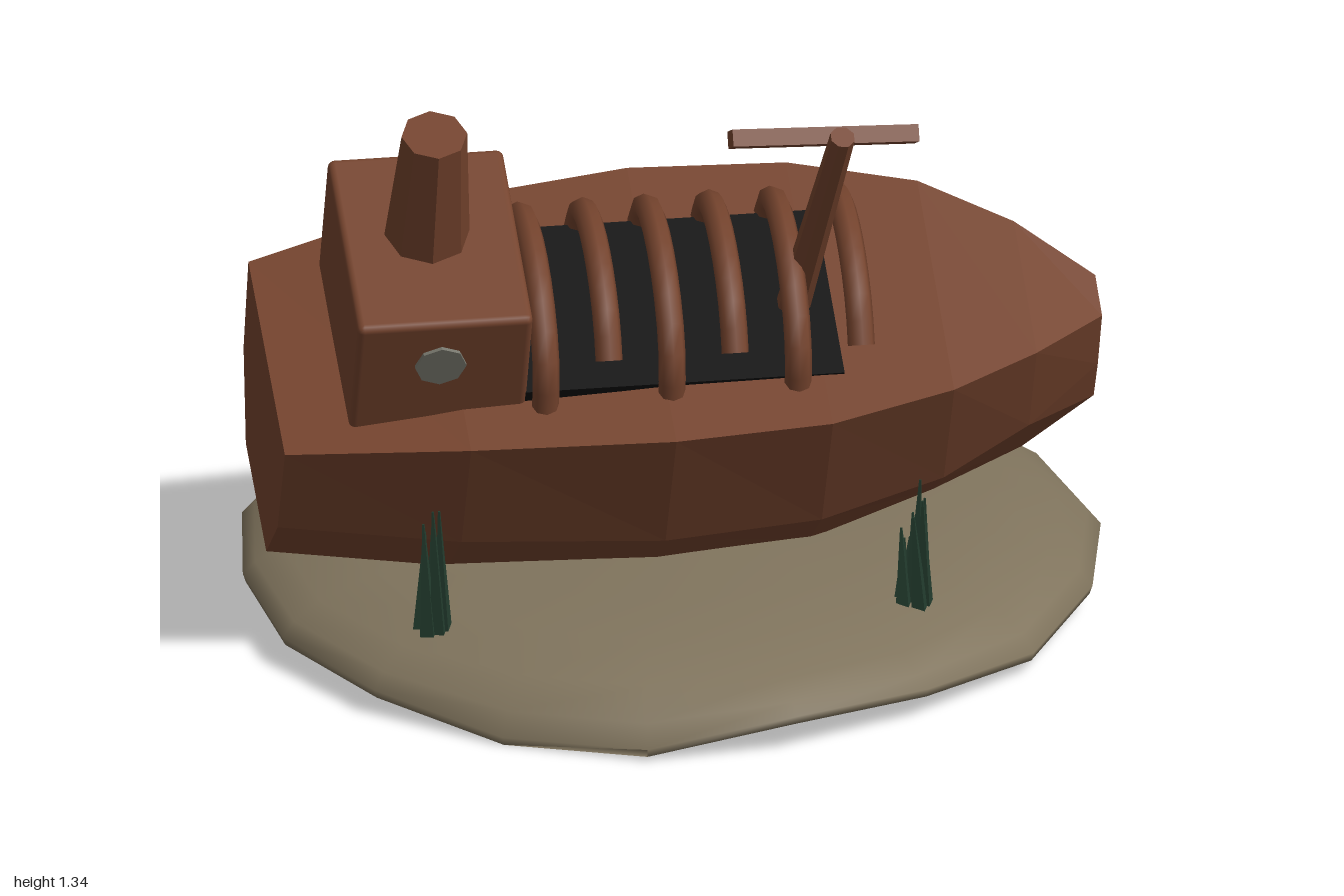
import * as THREE from 'three';
import { RoundedBoxGeometry } from 'three/addons/geometries/RoundedBoxGeometry.js';

const mat = (name, color, extra = {}) => {
  const m = new THREE.MeshStandardMaterial({ color, ...extra });
  m.name = name;
  return m;
};

function add(parent, name, geometry, material, x = 0, y = 0, z = 0) {
  const mesh = new THREE.Mesh(geometry, material);
  mesh.name = name;
  mesh.position.set(x, y, z);
  parent.add(mesh);
  return mesh;
}

// Tapered bar between two points
function bar(parent, name, a, b, r0, r1, sides, material) {
  const p = new THREE.Vector3(...a), q = new THREE.Vector3(...b);
  const dir = q.clone().sub(p);
  const mesh = add(parent, name, new THREE.CylinderGeometry(r1, r0, dir.length(), sides), material);
  mesh.position.copy(p).add(q).multiplyScalar(0.5);
  mesh.quaternion.setFromUnitVectors(new THREE.Vector3(0, 1, 0), dir.normalize());
  return mesh;
}

// Hull from stations: along, deck half width, deck height, chine width, depth, bottom width, depth
function hullGeometry() {
  const stations = [
    [0, 0.295, 0, 0.275, 0.25, 0.165, 0.44],
    [0.4, 0.37, 0.055, 0.34, 0.265, 0.21, 0.475],
    [0.85, 0.405, 0.08, 0.365, 0.275, 0.23, 0.495],
    [1.2, 0.385, 0.085, 0.34, 0.265, 0.21, 0.46],
    [1.48, 0.305, 0.085, 0.26, 0.24, 0.15, 0.39],
    [1.68, 0.19, 0.065, 0.165, 0.19, 0.095, 0.33],
    [1.845, 0.057, 0.03, 0.05, 0.13, 0.03, 0.25],
  ];
  // The deck's far edge is warped slightly upwards amidships
  const rings = stations.map(([x, w, y, w1, d1, w2, d2]) => [
    [x, y, w], [x, -d1, w1], [x, -d2, w2], [x, -d2, -w2], [x, -d1, -w1], [x, y * 1.35, -w],
  ]);
  const pos = [];
  const tri = (a, b, c) => pos.push(...a, ...b, ...c);
  for (let i = 0; i < rings.length - 1; i++) {
    for (let j = 0; j < 6; j++) {
      const k = (j + 1) % 6;
      tri(rings[i][j], rings[i][k], rings[i + 1][k]);
      tri(rings[i][j], rings[i + 1][k], rings[i + 1][j]);
    }
  }
  const stern = rings[0], bow = rings[rings.length - 1];
  for (let j = 1; j < 5; j++) {
    tri(stern[0], stern[j + 1], stern[j]);
    tri(bow[0], bow[j], bow[j + 1]);
  }
  const g = new THREE.BufferGeometry();
  g.setAttribute('position', new THREE.Float32BufferAttribute(pos, 3));
  g.computeVertexNormals();
  return g;
}

// Thin domed shell of sand with an uneven rim
function moundGeometry() {
  const radius = [1, 1, 0.985, 0.975, 0.955, 0.965, 0.955, 0.93, 0.935, 0.93, 0.91, 0.915, 0.91, 0.98, 0.955, 0.97, 0.975, 0.97];
  const rim = [0.015, 0.035, 0.045, 0.03, 0.055, 0.07, 0.01, 0.0, 0.04, 0.05, 0.06, 0.06, 0.05, 0.06, 0.04, 0.03, 0.03, 0.04];
  // Radius share, height, share of the rim's own height
  const profile = [
    [0, 0.2, 0], [0.3, 0.2, 0], [0.55, 0.194, 0], [0.75, 0.178, 0], [0.9, 0.145, 0.15], [0.97, 0.11, 0.6],
    [1, 0.02, 1], [0.993, 0, 1], [0.955, 0.08, 0.6], [0.88, 0.13, 0.2], [0.72, 0.162, 0], [0.5, 0.176, 0],
    [0.25, 0.18, 0], [0, 0.18, 0],
  ];
  const n = radius.length, pos = [], index = [];
  profile.forEach(([r, y, share], k) => {
    for (let i = 0; i < n; i++) {
      const a = ((i * 20 + 1) * Math.PI) / 180;
      const x = Math.cos(a) * radius[i] * r, z = Math.sin(a) * radius[i] * r;
      const bump = 0.01 * Math.sin(5 * x + 1) * Math.cos(4 * z) * (1 - share);
      const h = share === 1 ? rim[i] + y : y * (1 - share) + (rim[i] + 0.045) * share + bump;
      pos.push(x, h, z);
      if (k === profile.length - 1) continue;
      const j = (i + 1) % n, p = k * n, q = p + n;
      index.push(p + i, p + j, q + j, p + i, q + j, q + i);
    }
  });
  const g = new THREE.BufferGeometry();
  g.setAttribute('position', new THREE.Float32BufferAttribute(pos, 3));
  g.setIndex(index);
  g.computeVertexNormals();
  return g;
}

export function createModel() {
  const rust = mat('rusty steel', 0x74432d);
  const rustFlat = mat('rusty steel faceted', 0x74432d, { flatShading: true });
  const sand = mat('sea bed sand', 0x80745d);
  const black = mat('dark hold', 0x070707);
  const weed = mat('seaweed green', 0x233c2e, { flatShading: true });
  const glass = mat('dull glass', 0x74746a, { flatShading: true });

  const model = new THREE.Group();
  model.name = 'shipwreck';
  add(model, 'seaBed', moundGeometry(), sand);

  // Ship lies heeled over; its own x runs from stern to bow
  const ship = new THREE.Group();
  ship.name = 'ship';
  ship.position.set(-0.9, 0.69, -0.137);
  ship.rotation.set(0.37, -0.385, 0, 'YXZ');
  model.add(ship);

  add(ship, 'hull', hullGeometry(), rustFlat);
  const cabin = add(ship, 'cabin', new RoundedBoxGeometry(0.39, 0.36, 0.51, 2, 0.016), rust, 0.345, 0.17, -0.005);
  cabin.rotation.x = 0.035;
  add(ship, 'funnel', new THREE.CylinderGeometry(0.073, 0.097, 0.34, 8), rustFlat, 0.34, 0.488, -0.02);
  const porthole = add(ship, 'porthole', new THREE.CylinderGeometry(0.057, 0.057, 0.02, 8), glass, 0.34, 0.213, 0.25);
  porthole.rotation.x = Math.PI / 2 + 0.035;
  const hold = add(ship, 'openHold', new THREE.BoxGeometry(0.72, 0.06, 0.48), black, 0.885, 0.074, 0);
  hold.rotation.x = 0.04;

  // Bare ribs over the hold; every other one is broken off short
  for (let i = 0; i < 6; i++) {
    const start = i % 2 ? 0.5 : 0;
    const points = [];
    for (let k = 0; k <= 8; k++) {
      const a = start + ((Math.PI - start) * k) / 8;
      const lift = Math.pow(Math.max(Math.sin(a), 0), 0.85);
      points.push(new THREE.Vector3(0.58 + 0.14 * i, 0.05 + 0.215 * lift, 0.26 * Math.cos(a)));
    }
    const rib = new THREE.Group();
    rib.name = 'rib' + (i + 1);
    ship.add(rib);
    add(rib, 'ribArch', new THREE.TubeGeometry(new THREE.CatmullRomCurve3(points), 12, 0.03, 8), rust);
    const end = add(rib, 'ribEnd', new THREE.CircleGeometry(0.03, 8), rust, ...points[0]);
    end.quaternion.setFromUnitVectors(new THREE.Vector3(0, 0, 1), points[0].clone().sub(points[1]).normalize());
  }

  // Leaning mast and its yard
  bar(model, 'mast', [0.165, 0.66, 0.29], [0.09, 1.32, 0.675], 0.04, 0.028, 8, rustFlat);
  bar(model, 'yard', [-0.09, 1.285, 0.495], [0.325, 1.24, 0.595], 0.027, 0.027, 4, rustFlat);

  // Seaweed clumps: stout blades leaning together
  const clumps = [[-0.2, -0.65], [0.77, -0.19], [0.26, 0.69], [-0.71, 0.26]];
  clumps.forEach(([x, z], c) => {
    const clump = new THREE.Group();
    clump.name = 'seaweed' + (c + 1);
    clump.position.set(x, 0.135, z);
    model.add(clump);
    for (let i = 0; i < 8; i++) {
      const a = i * 2.4 + c, h = 0.17 + 0.035 * ((i * 3 + c) % 5);
      const r = i ? 0.026 : 0;
      bar(clump, 'blade', [Math.cos(a) * r, 0, Math.sin(a) * r],
        [Math.cos(a + 0.6) * r, h, Math.sin(a + 0.6) * r], 0.023, 0.003, 4, weed);
    }
  });
  return model;
}
